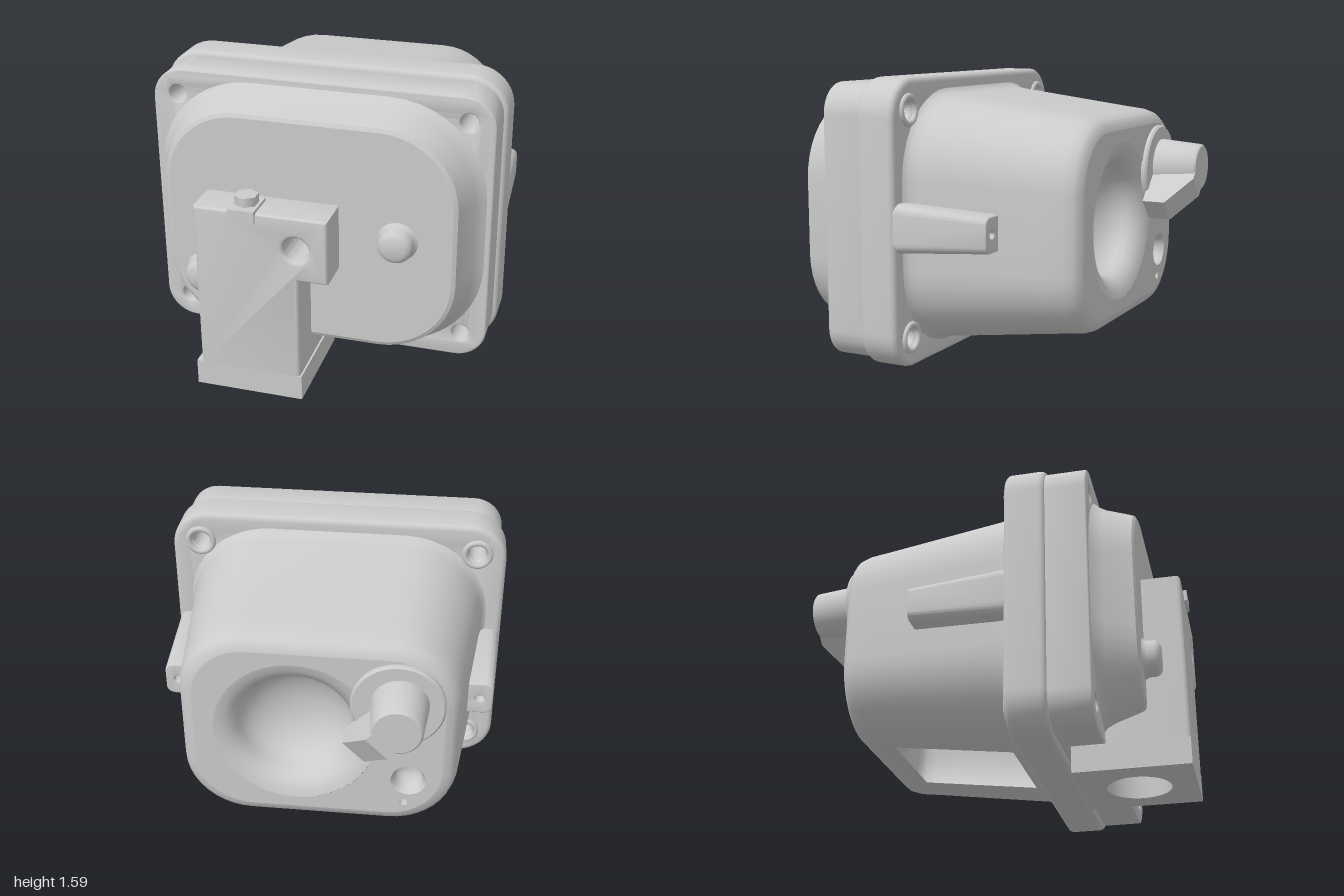
import * as THREE from 'three';
import { toCreasedNormals } from 'three/addons/utils/BufferGeometryUtils.js';

const mat = new THREE.MeshStandardMaterial({ color: 0xcccccc, side: THREE.DoubleSide });
const CY = 0.85; // height of the housing's centre

function add(parent, name, geo, x = 0, y = 0, z = 0) {
  const m = new THREE.Mesh(geo, mat);
  m.name = name;
  m.position.set(x, y, z);
  parent.add(m);
  return m;
}

// Rounded rectangle, counter-clockwise; bottomXs adds points on the lower edge
function loop(hw, y0, y1, r, bottomXs = [], k = 10) {
  const pts = [];
  const centres = [[hw - r, y1 - r], [r - hw, y1 - r], [r - hw, y0 + r], [hw - r, y0 + r]];
  centres.forEach(([cx, cy], c) => {
    if (c === 3) bottomXs.forEach(x => pts.push(new THREE.Vector2(x, y0)));
    for (let i = 0; i <= k; i++) {
      const a = (c + i / k) * Math.PI / 2;
      pts.push(new THREE.Vector2(cx + r * Math.cos(a), cy + r * Math.sin(a)));
    }
  });
  return pts;
}

// Skin through sections [z, halfWidth, y0, y1, radius] in order of rising z
function loft(sections, bottomXs, skip = () => false) {
  const pos = [], idx = [];
  let n = 0;
  for (const [z, ...rect] of sections) {
    const pts = loop(...rect, bottomXs);
    n = pts.length;
    pts.forEach(p => pos.push(p.x, p.y, z));
  }
  for (let i = 0; i < sections.length - 1; i++) {
    for (let j = 0; j < n; j++) {
      if (skip(i, j)) continue;
      const a = i * n + j, b = i * n + (j + 1) % n;
      idx.push(a, b, b + n, a, b + n, a + n);
    }
  }
  const g = new THREE.BufferGeometry();
  g.setAttribute('position', new THREE.Float32BufferAttribute(pos, 3));
  g.setIndex(idx);
  return toCreasedNormals(g, 0.7);
}

function circle(x, y, r) {
  return new THREE.Path().absarc(x, y, r, 0, Math.PI * 2, true);
}

// Bevelled extrusion from z0 to z1; pts is the outline before the bevel grows it
function slab(pts, z0, z1, bevel, holes = []) {
  const s = new THREE.Shape(pts);
  s.holes.push(...holes.map(([x, y, r]) => circle(x, y, r + bevel)));
  const g = new THREE.ExtrudeGeometry(s, {
    depth: z1 - z0 - 2 * bevel, bevelEnabled: bevel > 0, bevelSize: bevel,
    bevelThickness: bevel, bevelSegments: 4, curveSegments: 24,
  });
  g.translate(0, 0, z0 + bevel);
  return toCreasedNormals(g, 0.6);
}

function lathe(pairs, seg = 48) {
  const g = new THREE.LatheGeometry(pairs.map(p => new THREE.Vector2(...p)), seg);
  return toCreasedNormals(g.rotateX(Math.PI / 2), 0.7); // axis along +z
}

export function createModel() {
  const root = new THREE.Group();
  root.name = 'wallHousing';

  // Flange and front plate with four through holes
  const screws = [];
  for (const x of [-0.745, 0.745]) for (const y of [0.27, 1.43]) screws.push([x, y, 0.045]);
  add(root, 'rearFlange', slab(loop(0.87, 0.14, 1.56, 0.17), 0.155, 0.365, 0.03, screws));
  add(root, 'frontPlate', slab(loop(0.865, 0.15, 1.55, 0.15), 0.355, 0.575, 0.012, screws));
  screws.forEach(([x, y]) => {
    add(root, 'screwBoss', new THREE.TorusGeometry(0.068, 0.016, 8, 28), x, y, 0.155);
  });

  // Raised cover on the front
  const cover = [
    [0.565, 0.86, 0.165, 1.535, 0.5], [0.59, 0.83, 0.19, 1.51, 0.48], [0.63, 0.8, 0.21, 1.49, 0.45],
    [0.75, 0.755, 0.25, 1.45, 0.4], [0.775, 0.745, 0.26, 1.44, 0.39], [0.785, 0.725, 0.28, 1.42, 0.37],
  ];
  add(root, 'frontCover', loft(cover));
  add(root, 'frontCoverFace', new THREE.ShapeGeometry(new THREE.Shape(loop(...cover[5].slice(1)))), 0, 0, 0.785);

  // Tapered rear body with a rectangular opening underneath
  const body = [
    [-0.745, 0.63, 0.38, 1.32, 0.28], [-0.735, 0.665, 0.345, 1.355, 0.31],
    [-0.71, 0.69, 0.322, 1.378, 0.33], [-0.66, 0.705, 0.305, 1.395, 0.345],
    [-0.55, 0.717, 0.292, 1.408, 0.355], [0.08, 0.782, 0.208, 1.49, 0.41],
    [0.13, 0.79, 0.2, 1.5, 0.42], [0.15, 0.805, 0.185, 1.515, 0.44], [0.165, 0.83, 0.165, 1.535, 0.48],
  ];
  add(root, 'rearBody', loft(body, [-0.35, 0.2], (i, j) => i === 4 && j === 33));

  // Rear face with a large bowl and two small sockets
  const rear = new THREE.Shape(loop(...body[0].slice(1)));
  rear.holes.push(circle(0.12, CY, 0.41), circle(-0.46, 0.6, 0.09), circle(-0.44, 0.455, 0.02));
  add(root, 'rearFace', new THREE.ShapeGeometry(rear, 48), 0, 0, -0.745);
  const bowl = [[0.41, -0.745], [0.37, -0.735], [0.33, -0.71], [0.3, -0.67]];
  for (let i = 1; i <= 8; i++) {
    const a = i / 8 * Math.PI / 2;
    bowl.push([0.3 * Math.cos(a), -0.67 + 0.2 * Math.sin(a)]);
  }
  add(root, 'rearBowl', lathe(bowl), 0.12, CY);
  add(root, 'rearSocket', lathe([[0.09, -0.745], [0.075, -0.72], [0.065, -0.67], [0.04, -0.65], [0, -0.645]], 28), -0.46, 0.6);
  add(root, 'pinSocket', lathe([[0.02, -0.745], [0.02, -0.68], [0, -0.68]], 14), -0.44, 0.455);

  // Rotary switch at the back
  const dial = new THREE.Group();
  dial.name = 'rotarySwitch';
  dial.position.set(-0.395, 1.07, 0);
  root.add(dial);
  add(dial, 'switchDisc', lathe([[0, -0.77], [0.225, -0.77], [0.235, -0.76], [0.235, -0.74]]));
  add(dial, 'switchKnob', lathe([[0, -1], [0.115, -1], [0.125, -0.99], [0.145, -0.76]], 32), -0.01, 0.015);
  const pointer = new THREE.Shape([[0, -0.76], [0.29, -0.76], [0.29, -0.88], [0.12, -1], [0, -1]].map(p => new THREE.Vector2(...p)));
  const pointerGeo = new THREE.ExtrudeGeometry(pointer, { depth: 0.15, bevelEnabled: false });
  pointerGeo.translate(0, 0, -0.075).rotateX(Math.PI / 2).scale(1, 1, 1);
  add(dial, 'switchPointer', pointerGeo).rotation.z = -Math.PI / 4;

  // Tapered side lugs, each with a screw hole in its end
  for (const s of [-1, 1]) {
    const lug = slab(loop(0.085, -0.105, 0.105, 0.04), -0.34, 0.19, 0.008, [[0.025, 0, 0.022]]);
    const p = lug.attributes.position;
    for (let i = 0; i < p.count; i++) {
      const t = (p.getZ(i) + 0.34) / 0.53;
      p.setXY(i, s * (p.getX(i) + 0.775 + 0.025 * t), CY + p.getY(i) * (0.8 + 0.32 * t));
    }
    if (s < 0) { // mirrored triangles are turned back outward
      for (let i = 0; i < p.count; i += 3) {
        const a = new THREE.Vector3().fromBufferAttribute(p, i);
        p.setXYZ(i, p.getX(i + 1), p.getY(i + 1), p.getZ(i + 1));
        p.setXYZ(i + 1, a.x, a.y, a.z);
      }
    }
    add(root, s > 0 ? 'leftLug' : 'rightLug', toCreasedNormals(lug, 0.6));
  }

  // Cable conduit: upright with a side arm, and a foot with a cable entry
  const arm = [[-0.5, 0.02], [-0.01, 0.02], [-0.01, 0.7], [0.14, 0.7], [0.14, 1], [-0.5, 1]];
  const conduit = arm.map(p => new THREE.Vector2(...p));
  conduit[0].y = conduit[1].y = 0.14;
  add(root, 'conduit', slab(conduit, 0.55, 0.985, 0.02, [[0, 0.85, 0.065]]));
  const foot = new THREE.Shape([[-0.545, -0.985], [0.02, -0.985], [0.02, -0.41], [-0.545, -0.41]].map(p => new THREE.Vector2(...p)));
  foot.holes.push(circle(-0.26, -0.7, 0.16));
  const footGeo = new THREE.ExtrudeGeometry(foot, { depth: 0.135, bevelEnabled: false, curveSegments: 24 });
  add(root, 'conduitFoot', toCreasedNormals(footGeo.rotateX(-Math.PI / 2), 0.6));

  // Clip and hexagonal bolt on top of the conduit
  add(root, 'clipTop', new THREE.BoxGeometry(0.135, 0.02, 0.17), -0.267, 1.025, 0.912);
  add(root, 'clipFront', new THREE.BoxGeometry(0.135, 0.06, 0.02), -0.267, 1.005, 0.99);
  add(root, 'clipBolt', new THREE.CylinderGeometry(0.06, 0.06, 0.05, 6).toNonIndexed(), -0.267, 1.057, 0.905);

  // Rounded buttons on the cover
  const button = r => lathe([[r + 0.025, 0.78], [r + 0.008, 0.79], [r, 0.81], [r, 0.845], [r - 0.01, 0.862], [r - 0.03, 0.872], [0, 0.873]], 36);
  add(root, 'coverButton', button(0.085), 0.455, 0.865);
  add(root, 'sideButton', button(0.09), -0.55, 0.555);

  return root;
}
